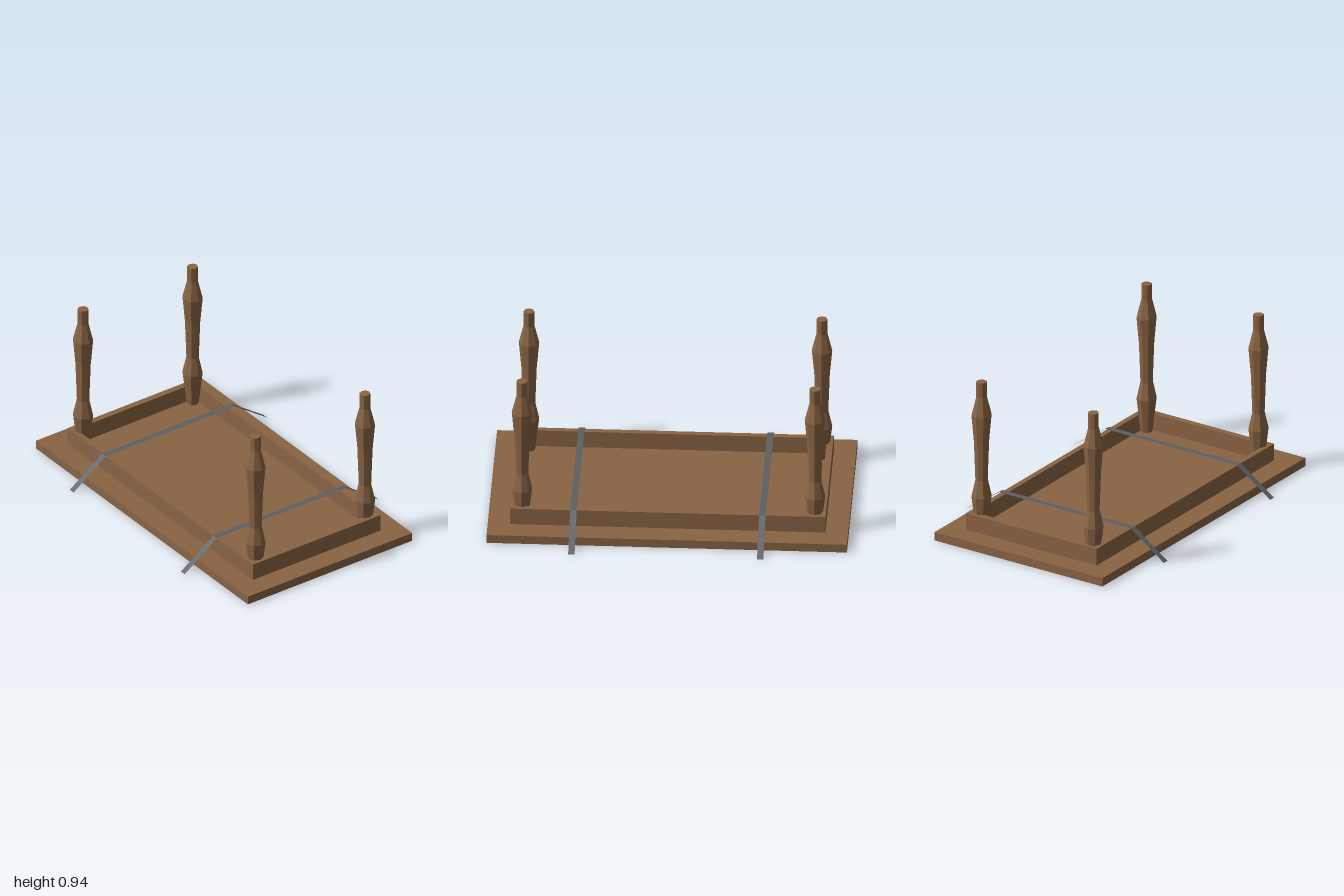
import * as THREE from 'three';

export function createModel() {
  const group = new THREE.Group();
  const wood = new THREE.MeshStandardMaterial({ color: 0x8a6444, flatShading: true, side: THREE.DoubleSide });
  const strapMat = new THREE.MeshStandardMaterial({ color: 0x5c6064, flatShading: true, side: THREE.DoubleSide });

  const add = (name, geometry, material, x = 0, y = 0, z = 0) => {
    const mesh = new THREE.Mesh(geometry, material);
    mesh.name = name;
    mesh.position.set(x, y, z);
    group.add(mesh);
    return mesh;
  };

  // Upturned tabletop: a shallow shell, open on its underside
  const top = new THREE.BoxGeometry(2, 0.05, 1.125);
  const bottomFace = top.groups[3];
  top.setIndex([...top.index.array].filter((_, i) => i < bottomFace.start || i >= bottomFace.start + bottomFace.count));
  top.clearGroups();
  add('tabletop', top, wood, 0, 0.025, 0);

  // Apron frame standing on the tabletop
  const rect = (T, w, d) => new T([
    new THREE.Vector2(-w, -d), new THREE.Vector2(w, -d),
    new THREE.Vector2(w, d), new THREE.Vector2(-w, d),
  ]);
  const frame = rect(THREE.Shape, 0.875, 0.4375);
  frame.holes.push(rect(THREE.Path, 0.838, 0.405));
  const apron = new THREE.ExtrudeGeometry(frame, { depth: 0.1, bevelEnabled: false });
  apron.rotateX(-Math.PI / 2);
  add('apron', apron, wood, 0, 0.05, 0);

  // Four turned, eight-sided legs
  const profile = [
    [0, 0.05], [0.034, 0.05], [0.057, 0.25], [0.035, 0.35],
    [0.043, 0.58], [0.057, 0.74], [0.03, 0.85], [0.03, 0.94], [0, 0.94],
  ].map(([r, y]) => new THREE.Vector2(r, y));
  const leg = new THREE.LatheGeometry(profile, 8);
  for (const [side, x] of [['left', 0.813], ['right', -0.813]]) {
    for (const [end, z] of [['Front', 0.375], ['Back', -0.375]]) {
      add(`${side}${end}Leg`, leg, wood, x, 0, z);
    }
  }

  // Two flat straps lying across the apron, ends sloping to the ground
  const path = [[-0.6625, 0], [-0.442, 0.155], [0.442, 0.155], [0.6625, 0]];
  const strap = new THREE.PlaneGeometry(0.036, 1, 1, 3);
  path.forEach(([z, y], row) => {
    for (const i of [2 * row, 2 * row + 1]) {
      strap.attributes.position.setY(i, y);
      strap.attributes.position.setZ(i, z);
    }
  });
  strap.computeVertexNormals();
  add('leftStrap', strap, strapMat, 0.524);
  add('rightStrap', strap, strapMat, -0.524);

  return group;
}
